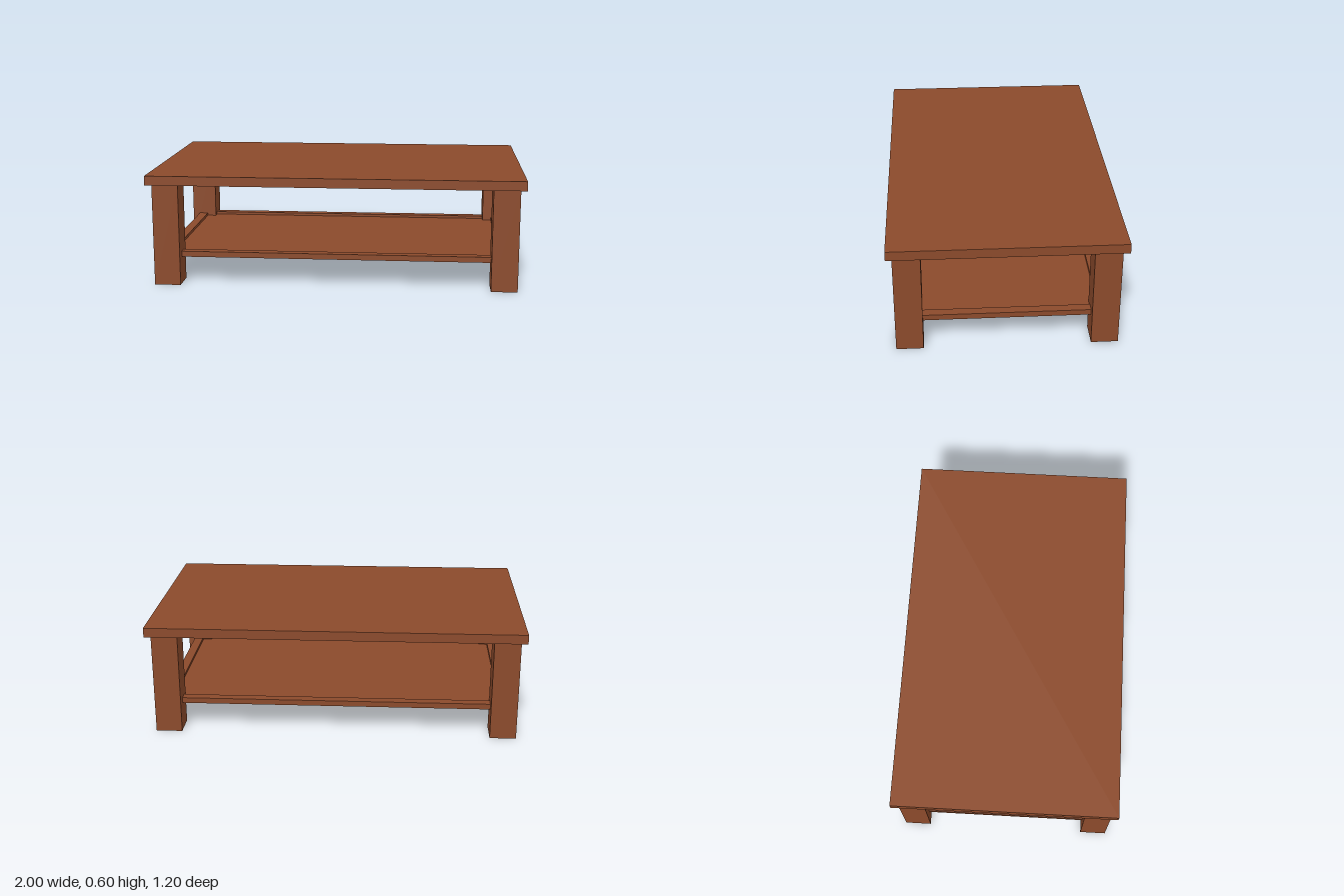
import * as THREE from 'three';

export function createModel() {
  const table = new THREE.Group();
  table.name = 'coffeeTable';

  const wood = new THREE.MeshStandardMaterial({ color: 0x8b4a2b });
  wood.name = 'brown wood';

  const addBox = (name, [w, h, d], [x, y, z]) => {
    const mesh = new THREE.Mesh(new THREE.BoxGeometry(w, h, d), wood);
    mesh.name = name;
    mesh.position.set(x, y, z);
    table.add(mesh);
  };

  // Table top
  addBox('tableTop', [2, 0.05, 1.2], [0, 0.575, 0]);

  // Four square legs
  for (const [sx, side] of [[1, 'Left'], [-1, 'Right']]) {
    for (const [sz, end] of [[1, 'front'], [-1, 'back']]) {
      addBox(`${end}${side}Leg`, [0.14, 0.55, 0.14], [sx * 0.9, 0.275, sz * 0.5]);
    }
  }

  // Lower shelf: rails between the legs around a slightly sunken panel
  const railWidth = 0.05;
  const railY = 0.16;
  for (const [s, end, side] of [[1, 'front', 'left'], [-1, 'back', 'right']]) {
    addBox(`${end}ShelfRail`, [1.66, 0.03, railWidth], [0, railY, s * 0.495]);
    addBox(`${side}ShelfRail`, [railWidth, 0.03, 0.86], [s * 0.905, railY, 0]);
  }
  addBox('shelfPanel', [1.76, 0.015, 0.94], [0, 0.1525, 0]);

  return table;
}
